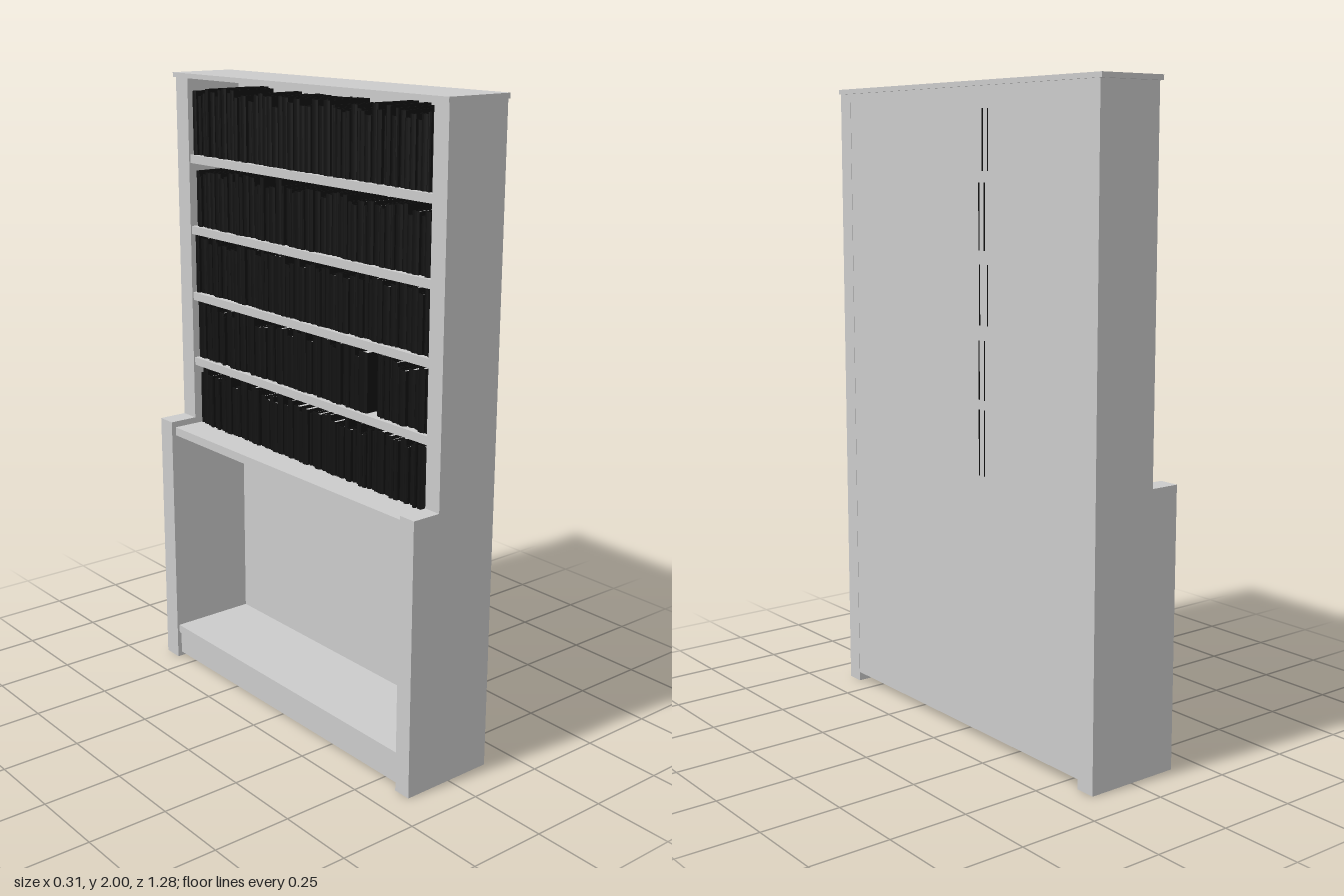
import * as THREE from 'three';

const wood = new THREE.MeshStandardMaterial({ color: 0xcccccc });
const coverMat = new THREE.MeshStandardMaterial({ color: 0x111111 });
const pageMat = new THREE.MeshStandardMaterial({ color: 0xffffff });

// Inner faces of the two side panels
const Z0 = -0.565, Z1 = 0.578;

// Small seeded generator for book sizes
function seeded(seed) {
  return () => {
    seed = (seed * 16807) % 2147483647;
    return seed / 2147483647;
  };
}

// Box given by its lower and upper limits on each axis
function board(name, [x0, x1], [y0, y1], [z0, z1], mat = wood) {
  const mesh = new THREE.Mesh(new THREE.BoxGeometry(x1 - x0, y1 - y0, z1 - z0), mat);
  mesh.position.set((x0 + x1) / 2, (y0 + y1) / 2, (z0 + z1) / 2);
  mesh.name = name;
  return mesh;
}

// Plan outline (u = z, v = -x) extruded upwards
function upright(name, shape, height, mat) {
  const geo = new THREE.ExtrudeGeometry(shape, { depth: height, bevelEnabled: false, curveSegments: 4 });
  // u -> z, v -> -x, extrusion -> y
  geo.applyMatrix4(new THREE.Matrix4().set(
    0, -1, 0, 0,
    0, 0, 1, 0,
    -1, 0, 0, 0,
    0, 0, 0, 1));
  const mesh = new THREE.Mesh(geo, mat);
  mesh.name = name;
  return mesh;
}

// Upright book: a wrapped cover with a rounded spine facing -x, and a page block
function book(z, y, width, height, spineX, backX) {
  const g = new THREE.Group();
  g.name = 'book';
  const h = width / 2, t = Math.min(0.003, width * 0.2), bulge = 0.005, depth = backX - spineX;
  const s = new THREE.Shape();
  s.moveTo(-h, -depth);
  s.lineTo(-h + t, -depth);
  s.lineTo(-h + t, -bulge - t);
  s.lineTo(h - t, -bulge - t);
  s.lineTo(h - t, -depth);
  s.lineTo(h, -depth);
  s.lineTo(h, -bulge);
  s.quadraticCurveTo(0, bulge, -h, -bulge);
  g.add(upright('bookCover', s, height, coverMat));
  g.add(board('bookPages', [bulge + t, Math.min(depth - 0.004, 0.17)], [0.003, height - 0.004], [-h + t, h - t], pageMat));
  g.position.set(spineX, y, z);
  return g;
}

// Side panel: deep below, stepped back above
function sidePanel(name, z0, z1) {
  const s = new THREE.Shape();
  [[-0.16, 0], [0.15, 0], [0.15, 1.985], [-0.065, 1.985], [-0.065, 0.86], [-0.16, 0.86]]
    .forEach(([x, y], i) => (i ? s.lineTo(x, y) : s.moveTo(x, y)));
  const mesh = new THREE.Mesh(new THREE.ExtrudeGeometry(s, { depth: z1 - z0, bevelEnabled: false }), wood);
  mesh.position.z = z0;
  mesh.name = name;
  return mesh;
}

export function createModel() {
  const model = new THREE.Group();
  model.name = 'bookcase';

  // Carcass
  model.add(
    sidePanel('sidePanelBack', -0.63, Z0),
    sidePanel('sidePanelFront', Z1, 0.635),
    board('topBoard', [-0.07, 0.155], [1.985, 2], [-0.64, 0.638]),
    board('backPanel', [0.135, 0.149], [0.03, 1.985], [Z0, Z1]),
    board('counter', [-0.145, 0.135], [0.812, 0.84], [Z0, Z1]),
    board('bottomShelf', [-0.152, 0.135], [0.09, 0.118], [Z0, Z1]),
    board('plinthRail', [-0.145, -0.128], [0.014, 0.09], [Z0, Z1])
  );

  // Upper shelves
  const floors = [0.84, 1.07, 1.292, 1.512, 1.743];
  for (const y of floors.slice(1)) model.add(board('shelf', [-0.06, 0.149], [y - 0.026, y], [Z0, Z1]));

  // Rows of books; one deep volume per row reaches through the back panel
  const rnd = seeded(41);
  const deepBooks = [[-0.134, -0.105, 0.2], [-0.134, -0.105, 0.178], [-0.149, -0.108, 0.18], [-0.134, -0.105, 0.198], [-0.15, -0.122, 0.178]];
  floors.forEach((y, row) => {
    const books = new THREE.Group();
    books.name = 'bookRow';
    const fill = (from, to) => {
      for (let z = from; to - z > 0.006;) {
        let w = 0.013 + rnd() * 0.017;
        if (to - z - w < 0.012) w = to - z;
        const height = (row === 4 ? 0.185 : 0.16) + rnd() * 0.035;
        books.add(book(z + w / 2, y, w - 0.0006, height, -0.052 + rnd() * 0.012, 0.1 + rnd() * 0.025));
        z += w;
      }
    };
    const [a, b, height] = deepBooks[row];
    fill(Z0, a);
    books.add(book((a + b) / 2, y, b - a, height, -0.048, 0.151));
    // The second row has a narrow gap
    if (row === 1) {
      fill(b, 0.3);
      fill(0.335, Z1);
    } else fill(b, Z1);
    model.add(books);
  });

  return model;
}
